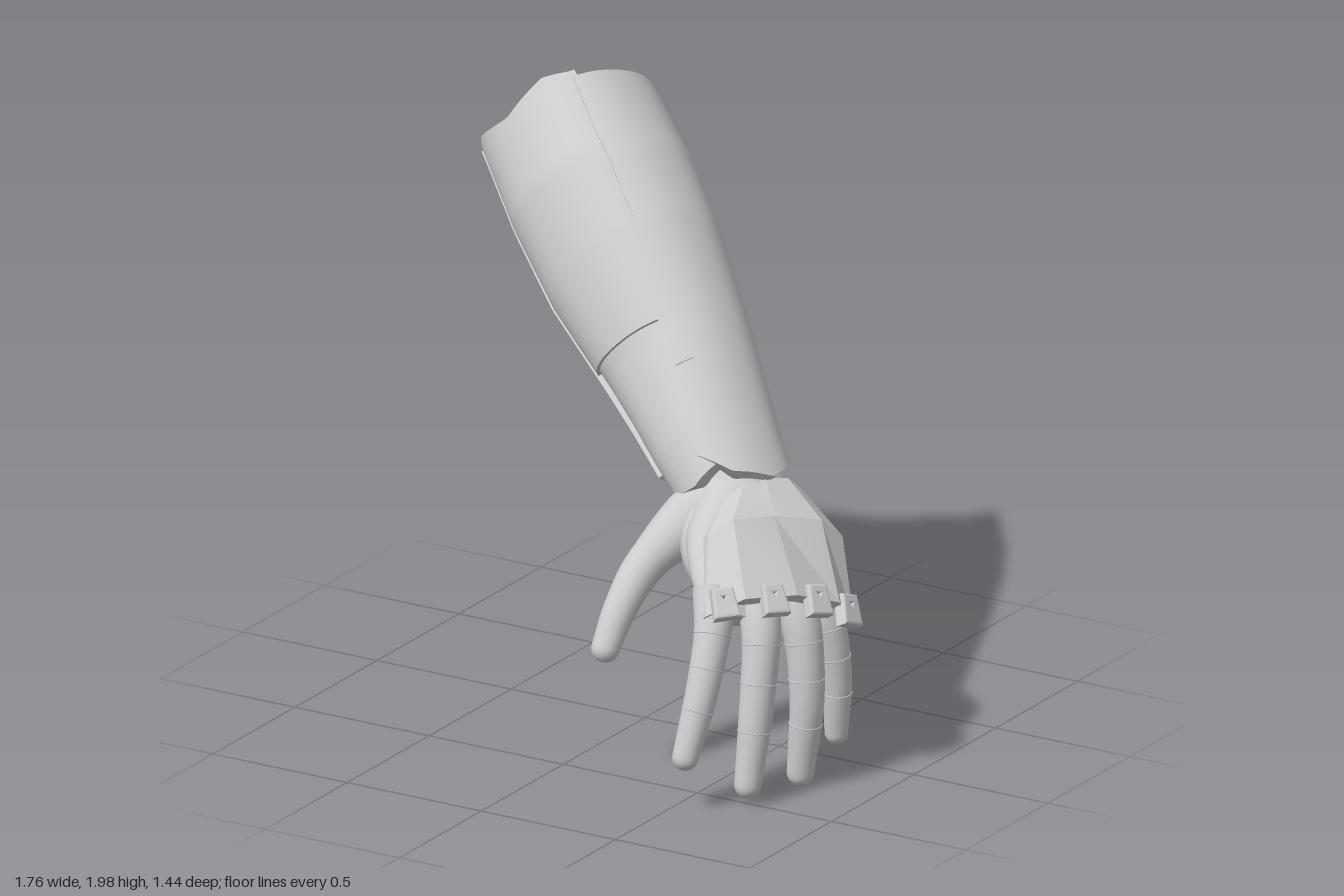
import * as THREE from 'three';
import { toCreasedNormals } from 'three/addons/utils/BufferGeometryUtils.js';

const V = (x, y, z) => new THREE.Vector3(x, y, z);
const mat = new THREE.MeshStandardMaterial({ color: 0xcccccc, side: THREE.DoubleSide });

// Forearm frame: wrist origin, axis to the elbow, back-of-hand side, thumb side
const WRIST = V(0.34, 0.93, 0.04);
const AXIS = V(-0.69, 0.61, -0.39).normalize();
const BACK = V(0.66, 0.75, 0).addScaledVector(AXIS, -V(0.66, 0.75, 0).dot(AXIS)).normalize();
const THUMB = AXIS.clone().cross(BACK).negate();
if (THUMB.z < 0) THUMB.negate();

// Piecewise linear lookup in [[key, value], ...]
function look(table, k) {
  if (typeof table === 'number') return table;
  if (k <= table[0][0]) return table[0][1];
  for (let i = 1; i < table.length; i++) {
    const [a, va] = table[i - 1], [b, vb] = table[i];
    if (k <= b) return va + (vb - va) * (k - a) / (b - a);
  }
  return table[table.length - 1][1];
}

function geometry(pts, index, crease) {
  const g = new THREE.BufferGeometry().setFromPoints(pts);
  g.setIndex(index);
  return toCreasedNormals(g, crease);
}

// Closed slab between an outer and an inner surface
function slab(nu, nv, outer, inner, crease = 0.55) {
  const pts = [], idx = [], n = (nu + 1) * (nv + 1);
  for (const f of [outer, inner])
    for (let i = 0; i <= nu; i++) for (let j = 0; j <= nv; j++) pts.push(f(i / nu, j / nv));
  const at = (i, j) => i * (nv + 1) + j;
  const quad = (a, b, c, d) => idx.push(a, b, c, a, c, d);
  for (let i = 0; i < nu; i++) for (let j = 0; j < nv; j++) {
    const a = at(i, j), b = at(i + 1, j), c = at(i + 1, j + 1), d = at(i, j + 1);
    quad(a, b, c, d);
    quad(a + n, d + n, c + n, b + n);
  }
  const wall = (a, b) => quad(b, a, a + n, b + n);
  for (let i = 0; i < nu; i++) { wall(at(i, 0), at(i + 1, 0)); wall(at(i + 1, nv), at(i, nv)); }
  for (let j = 0; j < nv; j++) { wall(at(0, j + 1), at(0, j)); wall(at(nu, j), at(nu, j + 1)); }
  return geometry(pts, idx, crease);
}

// Skin over rings of { c: centre, x, y: half-axis vectors }, closed at both ends
function loft(rings, sides = 24) {
  const pts = [], idx = [];
  for (const { c, x, y } of rings) for (let j = 0; j < sides; j++) {
    const a = j / sides * Math.PI * 2;
    pts.push(c.clone().addScaledVector(x, Math.cos(a)).addScaledVector(y, Math.sin(a)));
  }
  const last = rings.length - 1;
  pts.push(rings[0].c, rings[last].c);
  const s = pts.length - 2;
  for (let j = 0; j < sides; j++) {
    const k = (j + 1) % sides, e = last * sides;
    for (let i = 0; i < last; i++) {
      const a = i * sides + j, b = i * sides + k;
      idx.push(a, b, b + sides, a, b + sides, a + sides);
    }
    idx.push(s, k, j, s + 1, e + j, e + k);
  }
  return geometry(pts, idx, 1.1);
}

// Tapered limb through points, with a rounded tip
function limb(points, radii) {
  const curve = new THREE.CatmullRomCurve3(points.map(p => V(...p)));
  const n = 24, f = curve.computeFrenetFrames(n), rings = [];
  const table = radii.map((r, i) => [i / (radii.length - 1), r]);
  const ring = (i, r, push) => rings.push({
    c: curve.getPointAt(i / n).addScaledVector(f.tangents[i], push),
    x: f.normals[i].clone().multiplyScalar(r), y: f.binormals[i].clone().multiplyScalar(r),
  });
  for (let i = 0; i <= n; i++) ring(i, look(table, i / n), 0);
  const r = radii[radii.length - 1];
  for (let k = 1; k <= 6; k++) ring(n, r * Math.cos(k * 0.255), r * Math.sin(k * 0.255));
  return { geo: loft(rings, 20), curve, radius: t => look(table, t) };
}

// Forearm half-widths along the axis, for its four sides
const SIZE = {
  back: [[-0.14, 0.155], [0.12, 0.2], [0.4, 0.25], [0.8, 0.305], [1.05, 0.315], [1.4, 0.28]],
  palm: [[0, 0.2], [0.3, 0.23], [0.8, 0.3], [1.45, 0.29]],
  thumb: [[-0.1, 0.205], [0.1, 0.225], [0.45, 0.23], [0.8, 0.265], [1.1, 0.285], [1.4, 0.25]],
  outer: [[0, 0.19], [0.5, 0.25], [0.9, 0.29], [1.3, 0.315]],
};
function armPoint(t, deg, offset) {
  const a = deg * Math.PI / 180, c = Math.cos(a), s = Math.sin(a);
  const round = v => Math.sign(v) * Math.abs(v) ** 0.92;
  return WRIST.clone().addScaledVector(AXIS, t)
    .addScaledVector(BACK, round(c) * (look(c > 0 ? SIZE.back : SIZE.palm, t) + offset))
    .addScaledVector(THUMB, round(s) * (look(s > 0 ? SIZE.thumb : SIZE.outer, t) + offset));
}
// Shell panel: angles may vary along the arm, end cuts may vary around it
function armShell(a0, a1, t0, t1, offset, thick, nv = 48) {
  const surface = off => (u, v) => {
    const nominal = -0.1 + 1.5 * u;
    const from = look(a0, nominal), deg = from + (look(a1, nominal) - from) * v;
    const start = look(t0, deg);
    return armPoint(start + (look(t1, deg) - start) * u, deg, off);
  };
  return slab(48, nv, surface(offset), surface(offset - thick));
}

export function createModel() {
  const model = new THREE.Group();
  const add = (name, geo, parent = model) => {
    const m = new THREE.Mesh(geo, mat);
    m.name = name;
    parent.add(m);
    return m;
  };

  // Forearm armour
  add('forearmShell', armShell(
    [[0, -208], [0.6, -216], [1.4, -212]],
    [[-0.1, 68], [0.2, 60], [0.29, 53], [0.33, 43], [0.78, 42], [0.84, 40], [1.4, 34]],
    [[-210, 0.1], [-145, 0.09], [-95, 0.09], [-60, -0.03], [0, -0.137], [40, -0.1], [68, 0]],
    [[-212, 1.42], [-180, 1.485], [-150, 1.39], [-125, 1.29], [-75, 1.26], [-25, 1.36], [34, 1.365]],
    0, 0.06, 72));
  add('upperBracer', armShell(30, 152, [[30, 0.46], [150, 0.52]],
    [[35, 1.39], [55, 1.41], [90, 1.37], [125, 1.42], [152, 1.38]], -0.006, 0.06));
  add('lowerBracer', armShell(32, 152, [[40, -0.04], [90, -0.07], [120, -0.04], [152, 0.06]],
    0.6, -0.018, 0.05));
  add('sidePanel', armShell(38, 54, 0.3, 0.8, 0.004, 0.025, 8));

  // Wrist joint
  add('wrist', limb([[0.22, 1.04, -0.03], [0.33, 0.94, 0.03], [0.42, 0.86, 0.09]], [0.13, 0.135, 0.13]).geo);
  const cuff = add('wristCuff', new THREE.TorusGeometry(0.135, 0.022, 12, 40));
  cuff.position.set(0.36, 0.915, 0.045);
  cuff.quaternion.setFromUnitVectors(V(0, 0, 1), AXIS);

  // Palm
  const across = V(0.47, -0.14, -0.88).normalize(), normal = V(0.69, 0.68, 0.26).normalize();
  const palm = [
    [0.33, 0.95, 0, 0.12, 0.1], [0.4, 0.88, 0.07, 0.155, 0.115], [0.47, 0.78, 0.15, 0.22, 0.115],
    [0.57, 0.68, 0.24, 0.245, 0.09], [0.64, 0.61, 0.295, 0.245, 0.07], [0.67, 0.575, 0.32, 0.21, 0.045],
  ];
  const palmCurve = new THREE.CatmullRomCurve3(palm.map(p => V(p[0], p[1], p[2])));
  const sizeCurve = new THREE.CatmullRomCurve3(palm.map(p => V(p[3], p[4], 0)));
  add('palm', loft(Array.from({ length: 25 }, (_, i) => {
    const s = sizeCurve.getPoint(i / 24);
    return {
      c: palmCurve.getPoint(i / 24),
      x: across.clone().multiplyScalar(s.x), y: normal.clone().multiplyScalar(s.y),
    };
  }), 32));
  add('thumbWeb', limb([[0.34, 0.8, 0.18], [0.42, 0.73, 0.28], [0.53, 0.68, 0.4]], [0.1, 0.095, 0.07]).geo);

  // Thumb and fingers with joint seams
  const digits = {
    thumb: [[[0.37, 0.88, 0.08], [0.275, 0.78, 0.22], [0.215, 0.68, 0.36], [0.195, 0.57, 0.47], [0.185, 0.455, 0.545]],
      [0.11, 0.1, 0.068, 0.056, 0.046]],
    indexFinger: [[[0.52, 0.68, 0.43], [0.555, 0.58, 0.495], [0.565, 0.4, 0.575], [0.55, 0.19, 0.655]],
      [0.07, 0.058, 0.052, 0.043]],
    middleFinger: [[[0.62, 0.66, 0.34], [0.67, 0.56, 0.39], [0.69, 0.33, 0.45], [0.688, 0.075, 0.5]],
      [0.07, 0.06, 0.054, 0.044]],
    ringFinger: [[[0.68, 0.64, 0.23], [0.735, 0.54, 0.25], [0.765, 0.32, 0.265], [0.742, 0.055, 0.268]],
      [0.07, 0.06, 0.054, 0.044]],
    littleFinger: [[[0.69, 0.62, 0.11], [0.74, 0.52, 0.105], [0.765, 0.33, 0.085], [0.755, 0.13, 0.07]],
      [0.065, 0.055, 0.048, 0.038]],
  };
  for (const [name, [points, radii]] of Object.entries(digits)) {
    const group = new THREE.Group();
    group.name = name;
    model.add(group);
    const { geo, curve, radius } = limb(points, radii);
    add(name + 'Skin', geo, group);
    if (name === 'thumb') continue;
    for (const t of [0.27, 0.47, 0.72]) {
      const seam = add('jointSeam', new THREE.TorusGeometry(radius(t), 0.0025, 6, 32), group);
      seam.position.copy(curve.getPointAt(t));
      seam.quaternion.setFromUnitVectors(V(0, 0, 1), curve.getTangentAt(t));
    }
  }

  // Faceted plate over the back of the hand: wrist, middle and knuckle rows
  const rows = [
    [[0.44, 0.92, 0.22], [0.47, 0.95, 0.17], [0.51, 0.955, 0.1], [0.55, 0.94, 0.03], [0.57, 0.9, -0.01]],
    [[0.46, 0.84, 0.37], [0.53, 0.89, 0.33], [0.61, 0.88, 0.21], [0.7, 0.84, 0.07], [0.735, 0.77, 0]],
    [[0.56, 0.635, 0.55], [0.66, 0.69, 0.47], [0.77, 0.68, 0.33], [0.835, 0.62, 0.18], [0.83, 0.525, 0.085]],
  ];
  const plate = (u, v) => V(...rows[Math.round(u * 2)][Math.round(v * 4)]);
  add('handPlate', slab(2, 4, plate, (u, v) => plate(u, v).addScaledVector(normal, -0.045), 0.2));

  // Knuckle guards: tapered blocks with a triangular notch
  const block = new THREE.Shape([[-0.036, -0.045], [0.036, -0.045], [0.028, 0.042], [-0.028, 0.042]]
    .map(p => new THREE.Vector2(...p)));
  block.holes.push(new THREE.Path([[-0.014, 0.024], [0.014, 0.024], [0, 0]].map(p => new THREE.Vector2(...p))));
  const guardGeo = new THREE.ExtrudeGeometry(block,
    { depth: 0.03, bevelEnabled: true, bevelThickness: 0.008, bevelSize: 0.008, bevelSegments: 2 });
  guardGeo.translate(0, 0, -0.022);
  const guards = [
    [[0.61, 0.68, 0.515], [0.55, 0.62, 0.55]], [[0.725, 0.68, 0.4], [0.68, 0.62, 0.38]],
    [[0.805, 0.65, 0.265], [0.8, 0.56, 0.22]], [[0.845, 0.585, 0.14], [0.89, 0.45, 0.02]],
  ];
  for (const [pos, n] of guards) {
    const z = V(...n).normalize(), up = V(-0.24, 0.4, -0.2);
    const y = up.addScaledVector(z, -up.dot(z)).normalize();
    const guard = add('knuckleGuard', guardGeo);
    guard.position.set(...pos);
    guard.quaternion.setFromRotationMatrix(new THREE.Matrix4().makeBasis(y.clone().cross(z), y, z));
  }
  return model;
}
